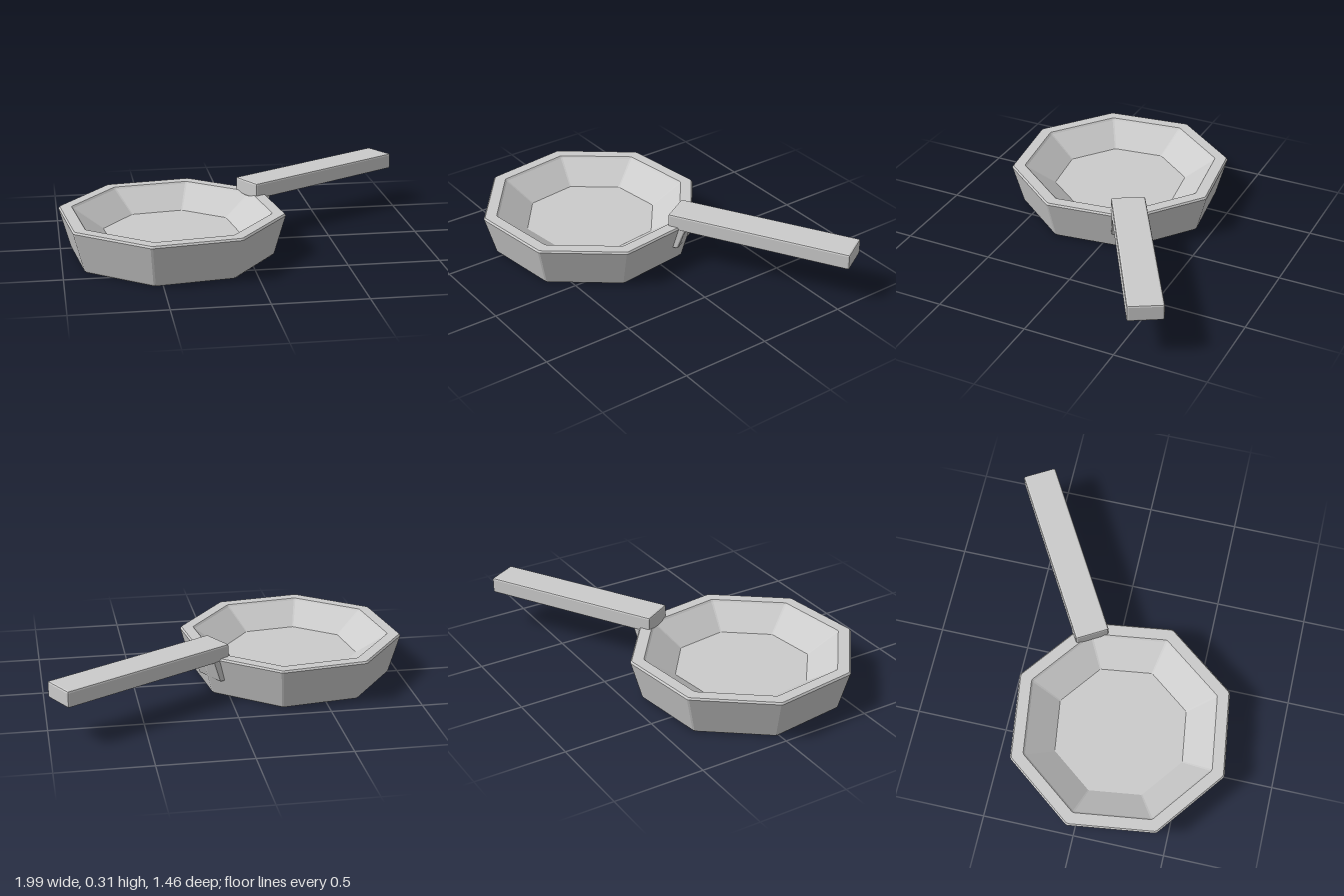
import * as THREE from 'three';
import { RoundedBoxGeometry } from 'three/addons/geometries/RoundedBoxGeometry.js';

const SIDES = 8;
const CHAMFER = 0.01; // half angle of each narrow corner facet, radians

// Octagonal lathe whose corners are each split into a narrow facet
function octagonLathe(profile, startAngle) {
  const points = profile.map(([r, y]) => new THREE.Vector2(r, y));
  const geometry = new THREE.LatheGeometry(points, SIDES * 2);
  const pos = geometry.attributes.position;
  for (let i = 0; i < pos.count; i++) {
    const ring = Math.floor(i / points.length);
    const p = points[i % points.length];
    const corner = Math.floor(ring / 2) * (Math.PI * 2 / SIDES);
    const angle = startAngle + corner + (ring % 2 ? CHAMFER : -CHAMFER);
    pos.setXYZ(i, p.x * Math.sin(angle), p.y, p.x * Math.cos(angle));
  }
  geometry.computeVertexNormals();
  return geometry;
}

export function createModel() {
  const model = new THREE.Group();
  model.name = 'fryingPan';
  const material = new THREE.MeshStandardMaterial({ color: 0xcccccc, flatShading: true });

  // Local +x runs along the handle, through one corner of the bowl
  const pan = new THREE.Group();
  pan.name = 'pan';
  pan.position.set(-0.4, 0, 0.13);
  pan.rotation.y = Math.PI / 6;
  model.add(pan);

  const add = (name, geometry, x, y) => {
    const mesh = new THREE.Mesh(geometry, material);
    mesh.name = name;
    mesh.position.set(x, y, 0);
    pan.add(mesh);
  };

  // Bowl: bottom, outer wall, rim, inner wall, floor
  add('bowl', octagonLathe([
    [0, 0], [0.55, 0], [0.56, 0.01], [0.621, 0.225], [0.613, 0.235],
    [0.547, 0.235], [0.537, 0.225], [0.375, 0.115], [0, 0.115],
  ], 0), 0, 0);

  // Handle: long bar resting on the rim
  add('handle', new RoundedBoxGeometry(1.035, 0.09, 0.187, 1, 0.01), 1.037, 0.26);

  // Bracket under the handle, leaning with the bowl wall
  const bracket = new RoundedBoxGeometry(0.07, 0.13, 0.187, 1, 0.01);
  bracket.applyMatrix4(new THREE.Matrix4().makeShear(0, 0, 0.36, 0, 0, 0));
  const pos = bracket.attributes.position;
  if (Math.abs(pos.getX(0)) > 1) bracket.center();
  add('handleBracket', bracket, 0.567, 0.163);

  return model;
}
